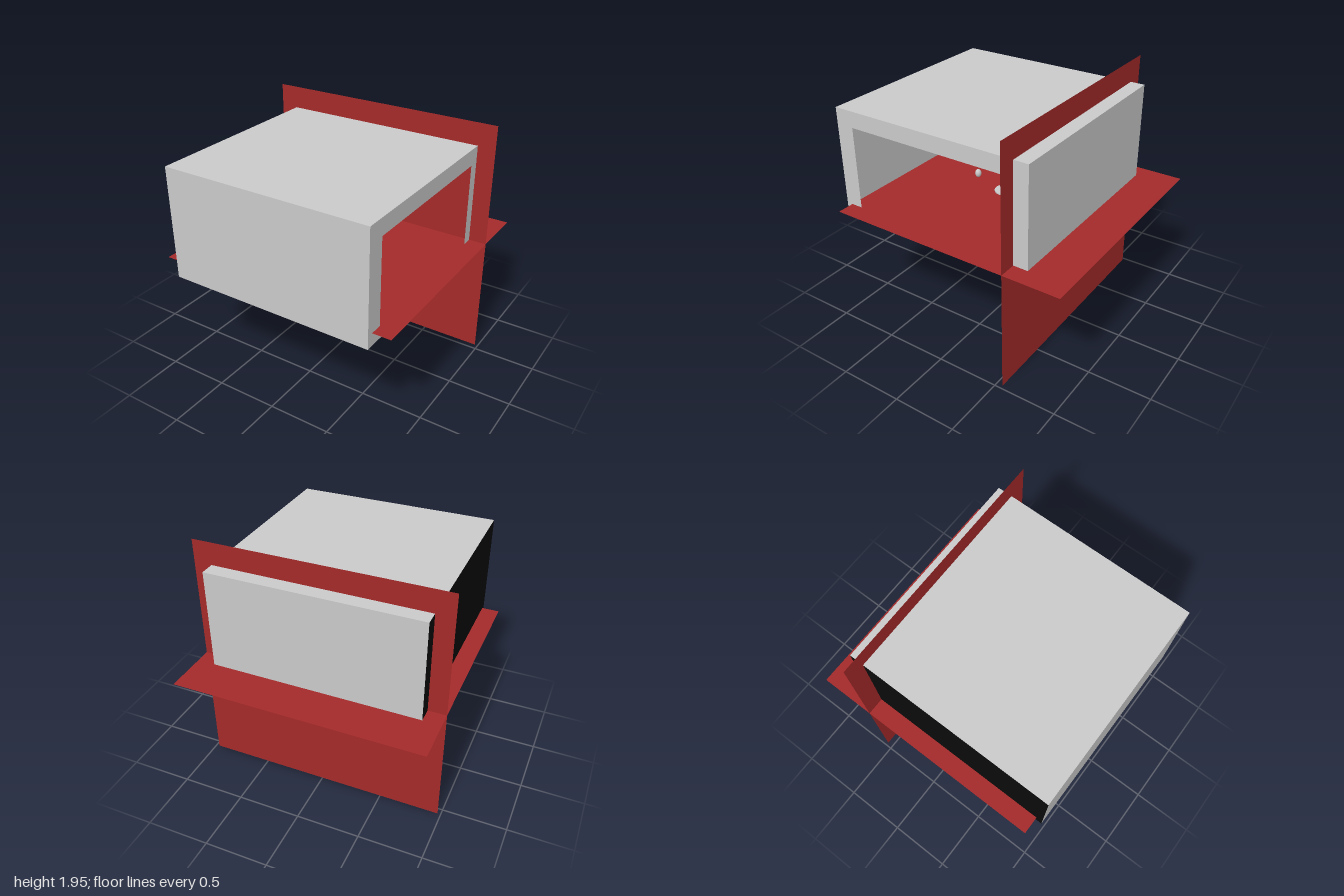
import * as THREE from 'three';

export function createModel() {
  const model = new THREE.Group();
  model.name = 'openBoxWithCrossedSheets';

  const red = new THREE.MeshStandardMaterial({ color: 0xa52a2a, side: THREE.DoubleSide });
  red.name = 'brickRed';
  const grey = new THREE.MeshStandardMaterial({ color: 0xcacaca, side: THREE.DoubleSide });
  grey.name = 'lightGrey';
  const black = new THREE.MeshStandardMaterial({ color: 0x0a0a0a, side: THREE.DoubleSide });
  black.name = 'black';

  const add = (name, geometry, material, position, rotation = [0, 0, 0]) => {
    const mesh = new THREE.Mesh(geometry, material);
    mesh.name = name;
    mesh.position.set(...position);
    mesh.rotation.set(...rotation);
    model.add(mesh);
    return mesh;
  };
  const sheet = (name, w, h, material, position, rotation) =>
    add(name, new THREE.PlaneGeometry(w, h), material, position, rotation);

  // Two large crossed sheets
  const S = 1.95, Q = Math.PI / 2;
  sheet('verticalSheet', S, S, red, [0, S / 2, -0.55]);
  sheet('horizontalSheet', S, S, red, [0, S / 2, -0.025], [-Q, 0, 0]);

  // Thin-walled hollow box
  const X = 0.833, y0 = 0.873, y1 = 1.77, z0 = -0.667, z1 = 1;
  const h = y1 - y0, d = z1 - z0, yc = (y0 + y1) / 2, zc = (z0 + z1) / 2;
  sheet('boxFront', 2 * X, h, grey, [0, yc, z1]);
  sheet('boxBack', 2 * X, h, grey, [0, yc, z0], [0, Math.PI, 0]);
  sheet('boxRoof', 2 * X, d, grey, [0, y1, zc], [-Q, 0, 0]);
  sheet('boxFloor', 2 * X, d, grey, [0, y0, zc], [Q, 0, 0]);
  sheet('darkSideWall', d, h, black, [-X, yc, zc], [0, -Q, 0]);

  // Open side: a frame around a large rectangular opening
  const rect = (Type, za, zb, ya, yb) => {
    const p = new Type();
    p.moveTo(-zb, ya).lineTo(-za, ya).lineTo(-za, yb).lineTo(-zb, yb).closePath();
    return p;
  };
  const frame = rect(THREE.Shape, z0, z1, y0, y1);
  frame.holes.push(rect(THREE.Path, -0.46, 0.853, 0.93, 1.64));
  add('openingFrame', new THREE.ShapeGeometry(frame), grey, [X, 0, 0], [0, Q, 0]);

  // Small objects inside
  add('canister', new THREE.CylinderGeometry(0.037, 0.037, 0.21, 32), grey, [0, 1.085, -0.018]);
  add('smallBall', new THREE.SphereGeometry(0.03, 24, 16), grey, [0, 1.06, 0.35]).scale.set(0.85, 1.15, 0.85);
  add('flatDisc', new THREE.CylinderGeometry(0.085, 0.085, 0.01, 32), grey, [0, 0.983, 0.085]);

  return model;
}
